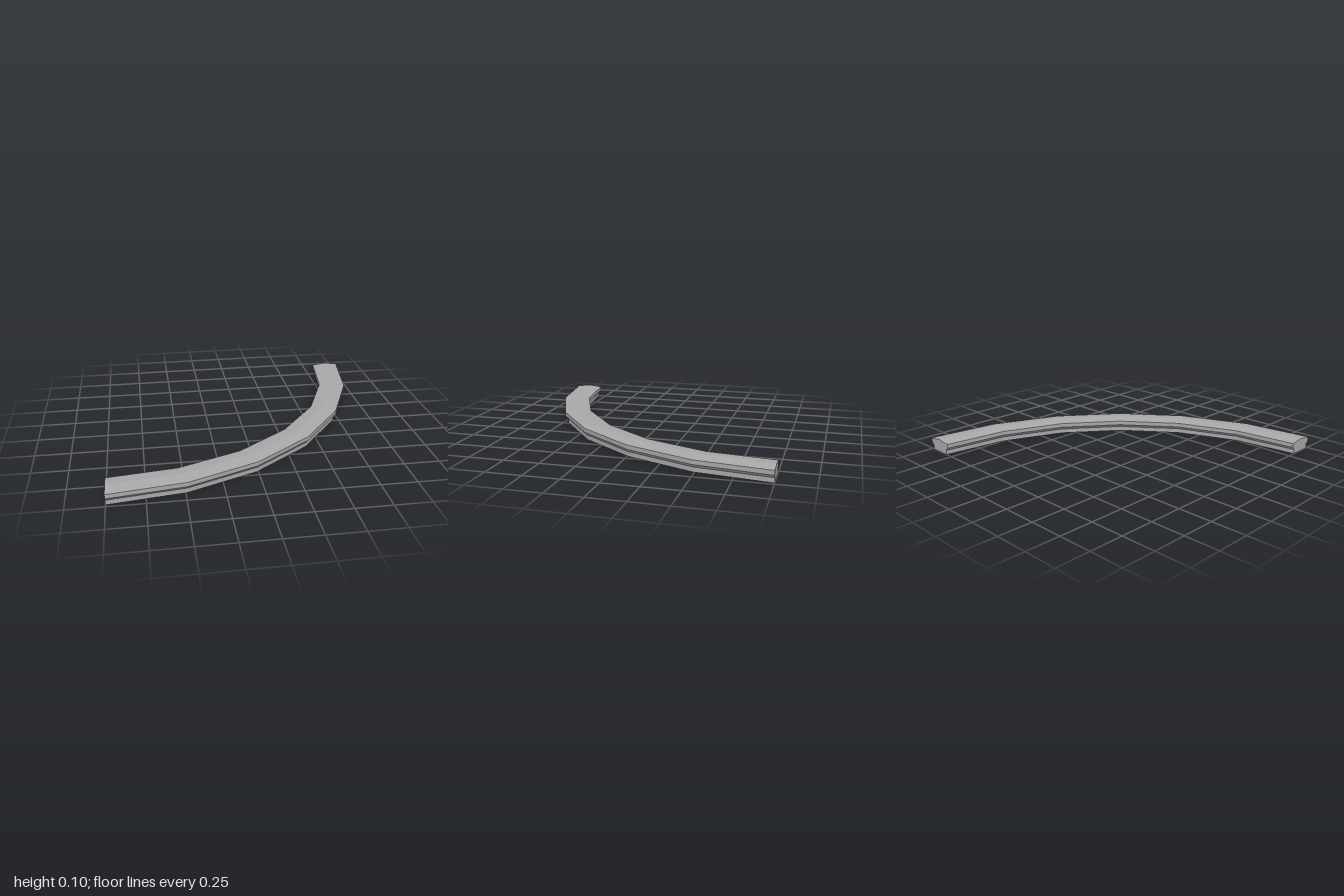
import * as THREE from 'three';

// Plan corners (x, z) of the outer and inner edges, from one end to the other
const OUTER = [[-1, 1], [-0.485, 0.928], [0, 0.725], [0.41, 0.41], [0.725, 0], [0.928, -0.485], [1, -1]];
const INNER = [[-1, 0.79], [-0.535, 0.73], [-0.1, 0.552], [0.268, 0.268], [0.552, -0.1], [0.73, -0.535], [0.79, -1]];

// Cross-section as (position from outer 0 to inner 1, height); the crown is point 4
const SECTION = [
  [0.1, 0], [0.1, 0.033], [0, 0.055], [0, 0.085], [0.5, 0.096],
  [1, 0.085], [1, 0.055], [0.9, 0.033], [0.9, 0],
];
const CROWN = 4;

function sweptKerb() {
  const rings = OUTER.map(([ox, oz], i) => {
    const [ix, iz] = INNER[i];
    return SECTION.map(([t, y]) => [ox + (ix - ox) * t, y, oz + (iz - oz) * t]);
  });
  const n = SECTION.length;
  const pos = [];
  const tri = (a, b, c) => pos.push(...a, ...b, ...c);

  // Skin between neighbouring cross-sections
  for (let i = 0; i < rings.length - 1; i++) {
    for (let j = 0; j < n; j++) {
      const k = (j + 1) % n;
      const a = rings[i][j], b = rings[i + 1][j], c = rings[i + 1][k], d = rings[i][k];
      tri(a, b, c);
      tri(a, c, d);
    }
  }

  // End caps, fanned from the crown
  const first = rings[0], last = rings[rings.length - 1];
  for (let s = 1; s < n - 1; s++) {
    const j = (CROWN + s) % n, k = (CROWN + s + 1) % n;
    tri(first[CROWN], first[j], first[k]);
    tri(last[CROWN], last[k], last[j]);
  }

  const geometry = new THREE.BufferGeometry();
  geometry.setAttribute('position', new THREE.Float32BufferAttribute(pos, 3));
  geometry.computeVertexNormals();
  return geometry;
}

export function createModel() {
  const group = new THREE.Group();
  group.name = 'curvedKerb';
  const stone = new THREE.MeshStandardMaterial({ color: 0xa8a8a8 });
  stone.name = 'grey stone';
  const kerb = new THREE.Mesh(sweptKerb(), stone);
  kerb.name = 'kerb';
  group.add(kerb);
  return group;
}
